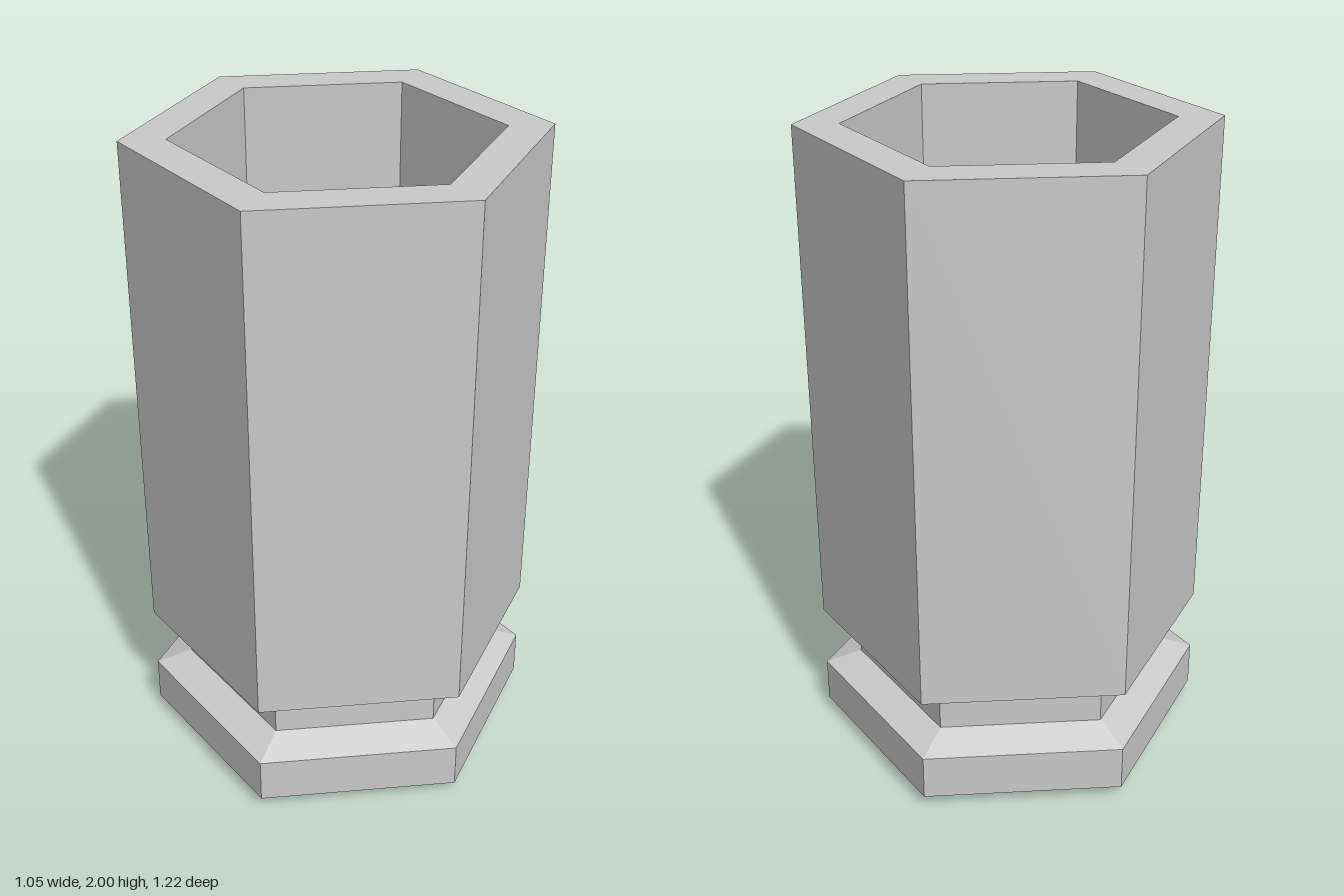
import * as THREE from 'three';

const material = new THREE.MeshStandardMaterial({ color: 0xcccccc, flatShading: true });

// Six-sided turned part from [radius, height] points, corners on the z axis
function hexPart(name, points) {
  const profile = points.map(([r, y]) => new THREE.Vector2(r, y));
  const geometry = new THREE.LatheGeometry(profile, 6).toNonIndexed();
  geometry.computeVertexNormals();
  const mesh = new THREE.Mesh(geometry, material);
  mesh.name = name;
  return mesh;
}

export function createModel() {
  const group = new THREE.Group();
  group.name = 'hexagonalCup';

  const outer = 0.608, neck = 0.494, foot = 0.515, inner = 0.475;
  const floor = 0.4;

  // Bevelled foot, up to the start of the groove
  group.add(hexPart('foot', [[0, 0], [foot, 0], [outer, 0.045], [outer, 0.19], [neck, 0.23]]));

  // Recessed neck between foot and body
  group.add(hexPart('neck', [[neck, 0.23], [neck, 0.355]]));

  // Tall body with flat rim, hollow inside down to the floor
  group.add(hexPart('body', [
    [neck, 0.355], [outer, 0.395], [outer, 2], [inner, 2], [inner, floor], [0, floor],
  ]));

  return group;
}
